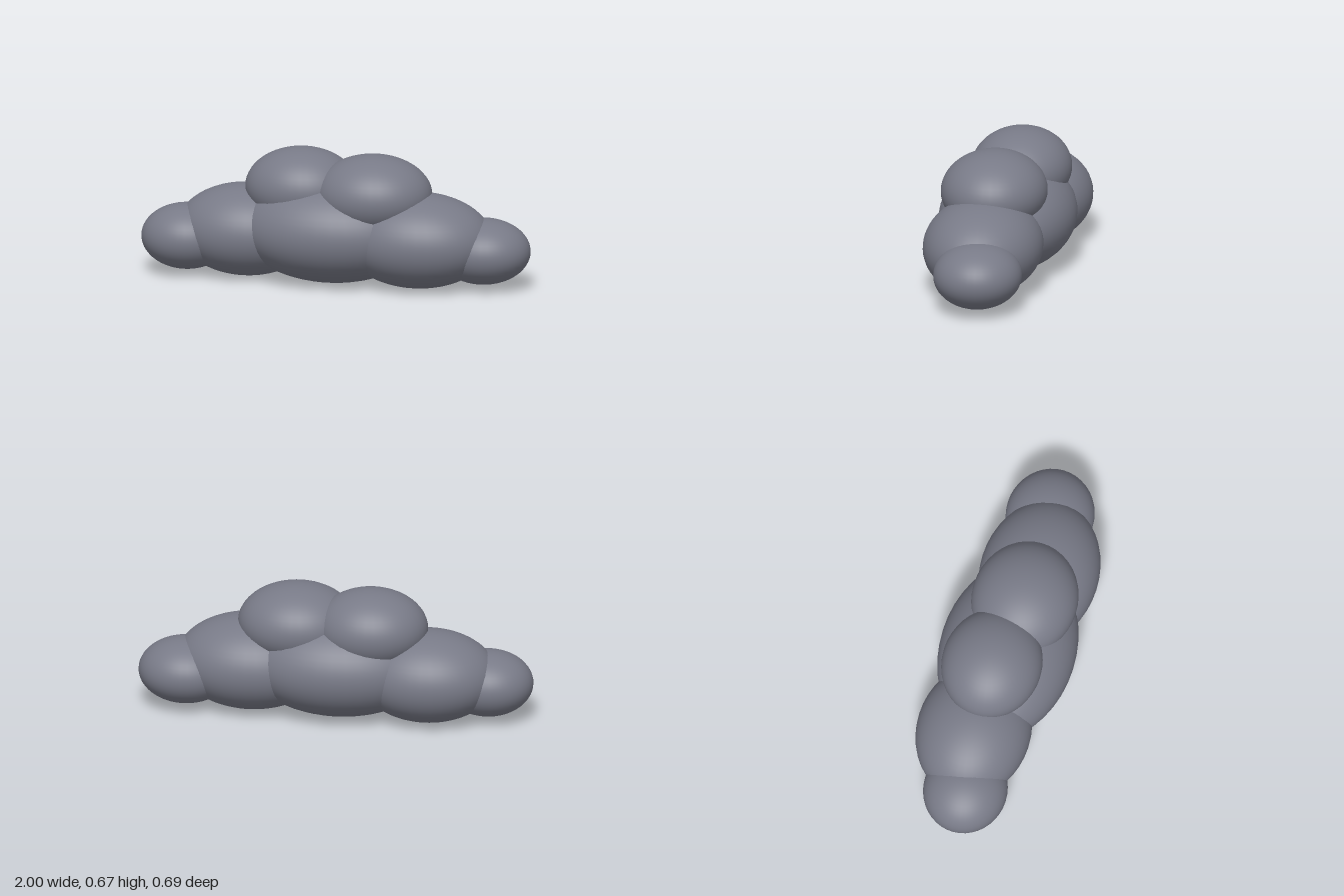
import * as THREE from 'three';

// Each lobe of the cloud: name, centre, radii
const LOBES = [
  ['centrePuff', [-0.02, 0.27, -0.002], [0.48, 0.267, 0.343]],
  ['leftPuff', [0.43, 0.245, 0.03], [0.387, 0.241, 0.3]],
  ['rightPuff', [-0.47, 0.237, -0.047], [0.357, 0.233, 0.288]],
  ['leftEndPuff', [0.76, 0.196, -0.012], [0.24, 0.166, 0.223]],
  ['rightEndPuff', [-0.77, 0.195, -0.002], [0.23, 0.166, 0.212]],
  ['upperLeftPuff', [0.2, 0.465, 0.022], [0.3, 0.203, 0.268]],
  ['upperRightPuff', [-0.183, 0.474, -0.037], [0.287, 0.201, 0.253]],
];

export function createModel() {
  const model = new THREE.Group();
  model.name = 'cloud';
  const stormGrey = new THREE.MeshStandardMaterial({ color: 0x787a87 });
  stormGrey.name = 'stormGrey';

  // Overlapping smooth ellipsoids
  for (const [name, centre, radii] of LOBES) {
    const geometry = new THREE.SphereGeometry(1, 40, 28);
    geometry.scale(...radii);
    const puff = new THREE.Mesh(geometry, stormGrey);
    puff.name = name;
    puff.position.set(...centre);
    model.add(puff);
  }
  return model;
}
